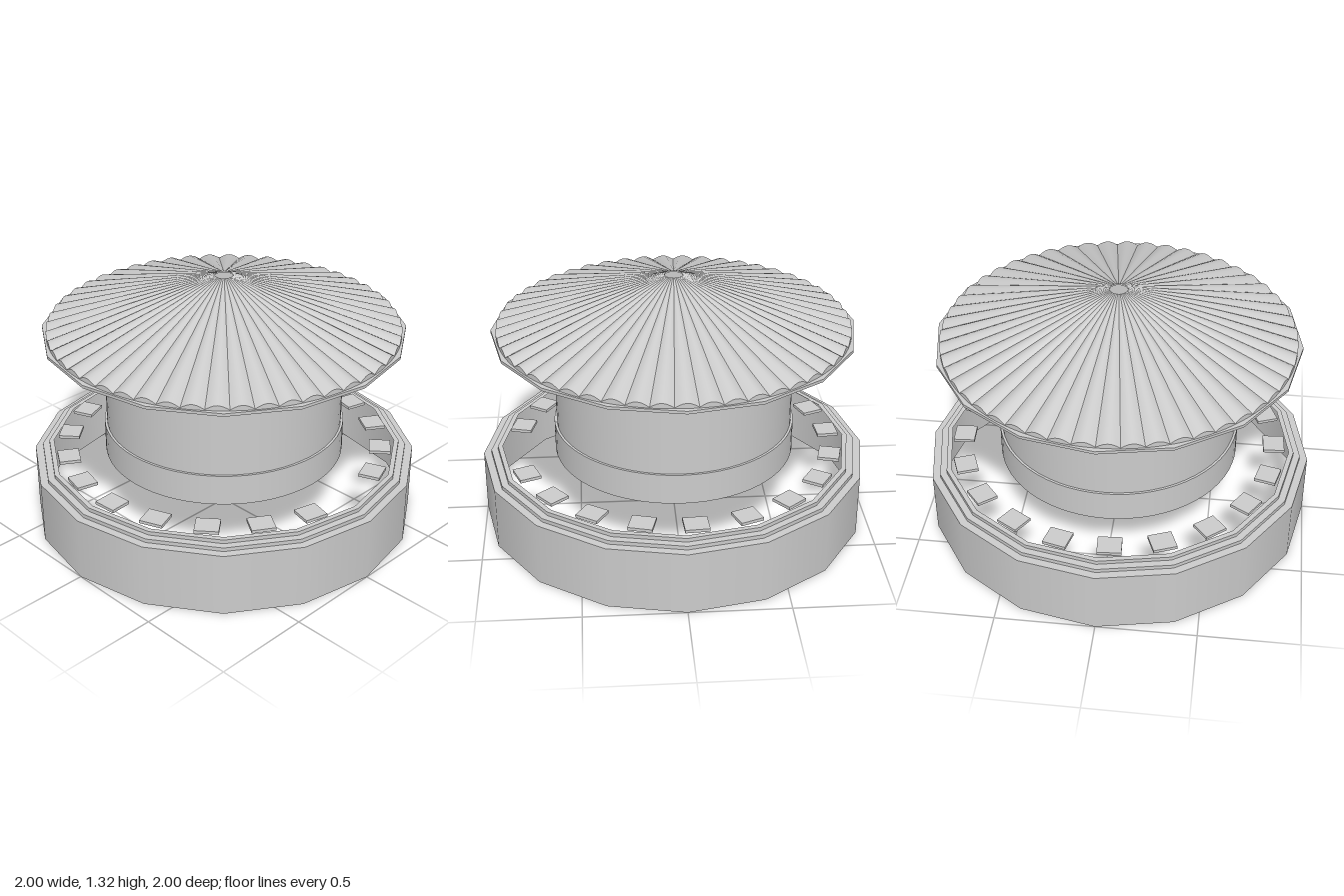
import * as THREE from 'three';
import { mergeGeometries } from 'three/addons/utils/BufferGeometryUtils.js';

const SIDES = 16;
const material = new THREE.MeshStandardMaterial({ color: 0xcccccc, side: THREE.DoubleSide });

// Revolved sheet: smooth around the axis, sharp at each profile corner
function turned(profile, segments) {
  const strips = [];
  for (let i = 0; i < profile.length - 1; i++) {
    const pair = [profile[i], profile[i + 1]].map(([r, y]) => new THREE.Vector2(r, y));
    strips.push(new THREE.LatheGeometry(pair, segments));
  }
  return mergeGeometries(strips);
}

// Ring of arched flutes tapering towards the top, each with a closed lower end
function flutedCone(count, rOuter, rInner, yOuter, yInner, rise) {
  const parts = [];
  const step = (Math.PI * 2) / count;
  for (let i = 0; i < count; i++) {
    for (const isEnd of [false, true]) {
      const flute = new THREE.PlaneGeometry(1, 1, 6, 1);
      const p = flute.attributes.position;
      for (let k = 0; k < p.count; k++) {
        const u = p.getX(k) + 0.5;
        const v = p.getY(k) + 0.5;
        const t = isEnd ? 0 : v;
        const r = THREE.MathUtils.lerp(rOuter, rInner, t);
        const arch = rise * (r / rOuter) * Math.sin(Math.PI * u);
        let y = THREE.MathUtils.lerp(yOuter, yInner, t) + arch;
        if (isEnd && v < 0.5) y = yOuter - 0.004;
        const a = (i + u) * step;
        p.setXYZ(k, r * Math.sin(a), y, r * Math.cos(a));
      }
      flute.computeVertexNormals();
      parts.push(flute);
    }
  }
  return mergeGeometries(parts);
}

export function createModel() {
  const model = new THREE.Group();
  const add = (name, geometry, parent = model) => {
    const mesh = new THREE.Mesh(geometry, material);
    mesh.name = name;
    parent.add(mesh);
    return mesh;
  };

  // Open base wall with a stepped rim
  add('baseWall', turned([[1, 0], [1, 0.33], [0.96, 0.33]], SIDES));
  add('baseRim', turned([[0.96, 0.33], [0.96, 0.35], [0.925, 0.35], [0.925, 0.37], [0.9, 0.37]], SIDES));

  // Ring of small tiles, with one place left empty at the front
  const tiles = new THREE.Group();
  tiles.name = 'tiles';
  model.add(tiles);
  const tileGeometry = new THREE.BoxGeometry(0.12, 0.016, 0.11);
  for (let i = 1; i < 20; i++) {
    const a = THREE.MathUtils.degToRad(3.6 + 18 * i);
    const tile = add('tile', tileGeometry, tiles);
    tile.position.set(0.82 * Math.sin(a), 0.375, 0.82 * Math.cos(a));
    tile.rotation.y = a;
  }

  // Open drum reaching up under the roof, with a collar at its foot
  add('drum', turned([[0.61, 0.37], [0.61, 1.13]], 64));
  add('collar', turned([[0.622, 0.37], [0.622, 0.53], [0.61, 0.53]], 64));

  // Roof: brim, plain inner cone and fluted covering around a small top hole
  add('roofBrim', turned([[0.885, 1.04], [0.885, 1.025], [0.92, 1.025], [0.92, 1.04], [0.885, 1.04]], SIDES));
  add('roofLining', turned([[0.89, 1.04], [0.045, 1.31]], SIDES));
  add('roofFlutes', flutedCone(50, 0.893, 0.045, 1.044, 1.315, 0.022));

  return model;
}
